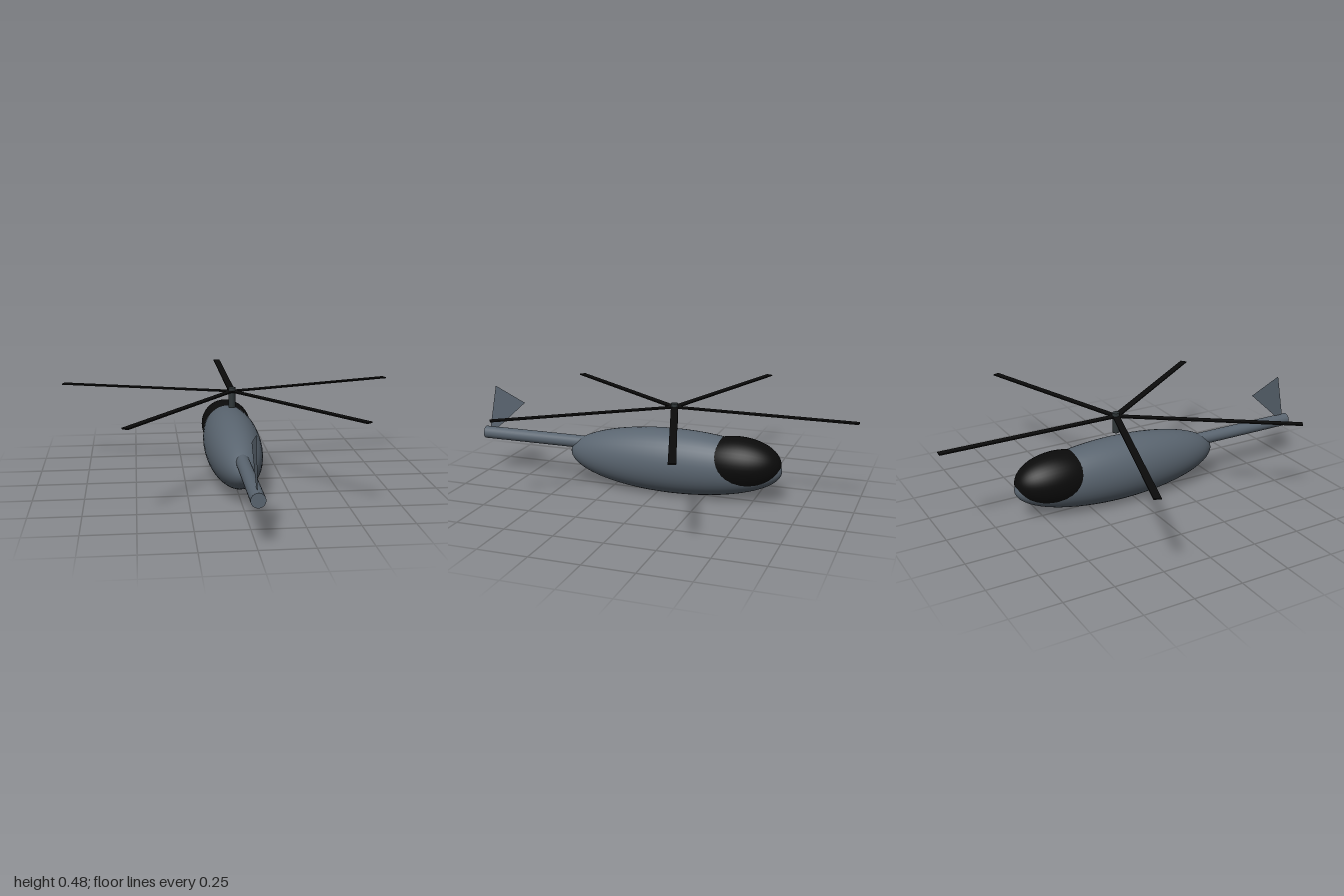
import * as THREE from 'three';

export function createModel() {
  const model = new THREE.Group();
  model.name = 'helicopter';

  const material = (name, color, side = THREE.FrontSide) => {
    const m = new THREE.MeshStandardMaterial({ color, side });
    m.name = name;
    return m;
  };
  const hullGrey = material('hullGrey', 0x5a6570, THREE.DoubleSide);
  const black = material('black', 0x0b0b0b);
  const mastGrey = material('mastGrey', 0x2f3638);

  const add = (name, geometry, mat, x, y, z, parent = model) => {
    const mesh = new THREE.Mesh(geometry, mat);
    mesh.name = name;
    mesh.position.set(x, y, z);
    parent.add(mesh);
    return mesh;
  };

  // Ellipsoid with its poles along z
  const ellipsoid = (rx, ry, rz) =>
    new THREE.SphereGeometry(1, 40, 32).rotateX(Math.PI / 2).scale(rx, ry, rz);

  // Body, with the dark canopy bulging out of the nose (nose towards -z)
  add('fuselage', ellipsoid(0.145, 0.168, 0.565), hullGrey, 0, 0.168, -0.075);
  add('canopy', ellipsoid(0.133, 0.13, 0.225), black, 0, 0.195, -0.41);

  // Tail boom, running into the back of the body
  const boom = new THREE.CylinderGeometry(0.033, 0.033, 0.7, 32).rotateX(Math.PI / 2);
  add('tailBoom', boom, hullGrey, 0, 0.217, 0.65);

  // Flat triangular fin in the x = 0 plane; shape x runs along -z
  const finShape = new THREE.Shape([
    new THREE.Vector2(-0.984, 0.197),
    new THREE.Vector2(-0.76, 0.40),
    new THREE.Vector2(-0.93, 0.48),
  ]);
  add('tailFin', new THREE.ShapeGeometry(finShape).rotateY(Math.PI / 2), hullGrey, 0, 0, 0);

  // Main rotor: mast and five evenly spaced blades, one pointing at the nose
  const rotor = new THREE.Group();
  rotor.name = 'mainRotor';
  rotor.position.set(0, 0, -0.08);
  model.add(rotor);
  add('mast', new THREE.CylinderGeometry(0.018, 0.018, 0.105, 24), mastGrey, 0, 0.417, 0, rotor);

  const bladeLength = 0.92;
  const blade = new THREE.BoxGeometry(0.035, 0.006, bladeLength).translate(0, 0, -bladeLength / 2);
  for (let i = 0; i < 5; i++) {
    add(`blade${i + 1}`, blade, black, 0, 0.45, 0, rotor).rotation.y = (i * Math.PI * 2) / 5;
  }

  return model;
}
